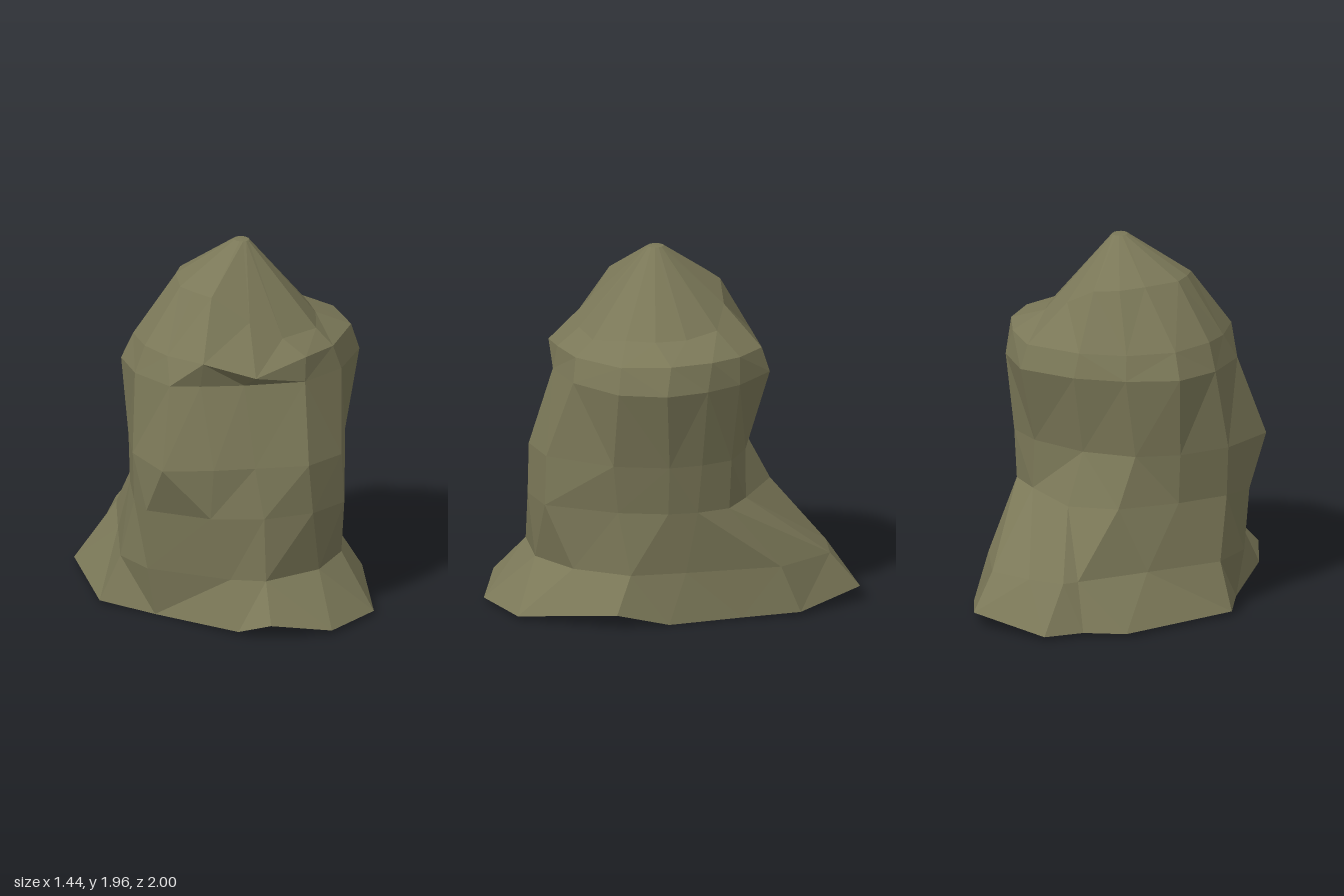
import * as THREE from 'three';

// Every cross-section has 14 points, starting at the front and turning towards +x.
const N = 14;
const uneven = (xz, ys) => ys.map((y, i) => [xz[2 * i], y, xz[2 * i + 1]]);
const level = (y, xz) => uneven(xz, Array(N).fill(y));

// Cape, from hem to neck
const hem = uneven(
  [0.02, 1, 0.38, 0.88, 0.65, 0.39, 0.61, 0.1, 0.58, -0.3, 0.57, -0.62, 0.36, -0.98,
    -0.09, -1, -0.23, -0.83, -0.44, -0.73, -0.72, -0.1, -0.57, 0.2, -0.4, 0.73, -0.3, 0.89],
  [0.02, 0.02, 0.08, 0, 0.01, 0.02, 0.08, 0.02, 0.02, 0.02, 0.02, 0, 0.02, 0.08]);
const fold = level(0.27,
  [0.12, 0.74, 0.38, 0.58, 0.56, 0.3, 0.56, 0, 0.54, -0.52, 0.34, -0.82, 0.1, -0.84,
    -0.1, -0.82, -0.15, -0.75, -0.38, -0.41, -0.62, -0.05, -0.62, 0.2, -0.36, 0.6, -0.22, 0.73]);
const neck = level(0.61,
  [0.06, 0.77, 0.3, 0.72, 0.51, 0.36, 0.58, 0.1, 0.58, -0.06, 0.53, -0.24, 0.36, -0.36,
    0.03, -0.55, -0.23, -0.46, -0.45, -0.2, -0.6, 0.05, -0.64, 0.22, -0.44, 0.53, -0.21, 0.7]);

// Hood sides
const chest = level(0.88,
  [0.04, 0.76, 0.29, 0.71, 0.54, 0.39, 0.62, 0.1, 0.6, -0.08, 0.54, -0.25, 0.35, -0.36,
    0.02, -0.41, -0.27, -0.35, -0.46, -0.2, -0.61, 0.05, -0.65, 0.38, -0.42, 0.53, -0.22, 0.63]);
const cheek = level(1.31,
  [0.1, 0.64, 0.38, 0.58, 0.64, 0.38, 0.72, 0.13, 0.67, -0.1, 0.57, -0.29, 0.36, -0.49,
    0.03, -0.49, -0.24, -0.4, -0.48, -0.24, -0.56, 0, -0.53, 0.28, -0.4, 0.38, -0.2, 0.5]);

// Pointed cap
const brim = uneven(
  [0.12, 0.62, 0.34, 0.56, 0.6, 0.36, 0.67, 0.1, 0.63, -0.13, 0.52, -0.3, 0.34, -0.45,
    0.02, -0.45, -0.22, -0.36, -0.43, -0.2, -0.51, 0.02, -0.49, 0.2, -0.41, 0.42, -0.2, 0.61],
  [1.44, 1.44, 1.45, 1.46, 1.46, 1.45, 1.44, 1.44, 1.44, 1.45, 1.46, 1.45, 1.45, 1.38]);
const crown = uneven(
  [0.06, 0.49, 0.3, 0.46, 0.41, 0.3, 0.47, 0.15, 0.46, -0.02, 0.38, -0.2, 0.2, -0.27,
    0.03, -0.28, -0.1, -0.23, -0.2, -0.13, -0.3, 0.05, -0.29, 0.16, -0.25, 0.27, -0.1, 0.41],
  [1.52, 1.52, 1.54, 1.54, 1.54, 1.56, 1.65, 1.74, 1.75, 1.76, 1.76, 1.76, 1.75, 1.62]);
const tip = Array.from({ length: N }, (_, i) => {
  const a = i * 2 * Math.PI / N;
  return [0.08 + 0.04 * Math.sin(a), 1.96, 0.08 + 0.045 * Math.cos(a)];
});
const apex = tip.map(() => [0.08, 1.963, 0.08]);

const gap = (p, q) => Math.hypot(p[0] - q[0], p[1] - q[1], p[2] - q[2]);

// Faceted skin through a stack of cross-sections, each quad split along its shorter diagonal
function loft(rings) {
  const v = [];
  for (let r = 0; r < rings.length - 1; r++) {
    const lo = rings[r], hi = rings[r + 1];
    for (let i = 0; i < N; i++) {
      const j = (i + 1) % N;
      const [a, b, c, d] = [lo[i], lo[j], hi[j], hi[i]];
      if (hi === apex) v.push(...a, ...b, ...c);
      else if (gap(a, c) < gap(b, d)) v.push(...a, ...b, ...c, ...a, ...c, ...d);
      else v.push(...a, ...b, ...d, ...b, ...c, ...d);
    }
  }
  const g = new THREE.BufferGeometry();
  g.setAttribute('position', new THREE.Float32BufferAttribute(v, 3));
  g.computeVertexNormals();
  return g;
}

export function createModel() {
  const cloth = new THREE.MeshStandardMaterial({ color: 0x7b7858, side: THREE.DoubleSide });
  cloth.name = 'olive cloth';
  const model = new THREE.Group();
  model.name = 'hood';
  const parts = {
    cape: [hem, fold, neck],
    hoodSides: [neck, chest, cheek],
    cap: [cheek, brim, crown, tip, apex],
  };
  for (const [name, rings] of Object.entries(parts)) {
    const mesh = new THREE.Mesh(loft(rings), cloth);
    mesh.name = name;
    model.add(mesh);
  }
  return model;
}
